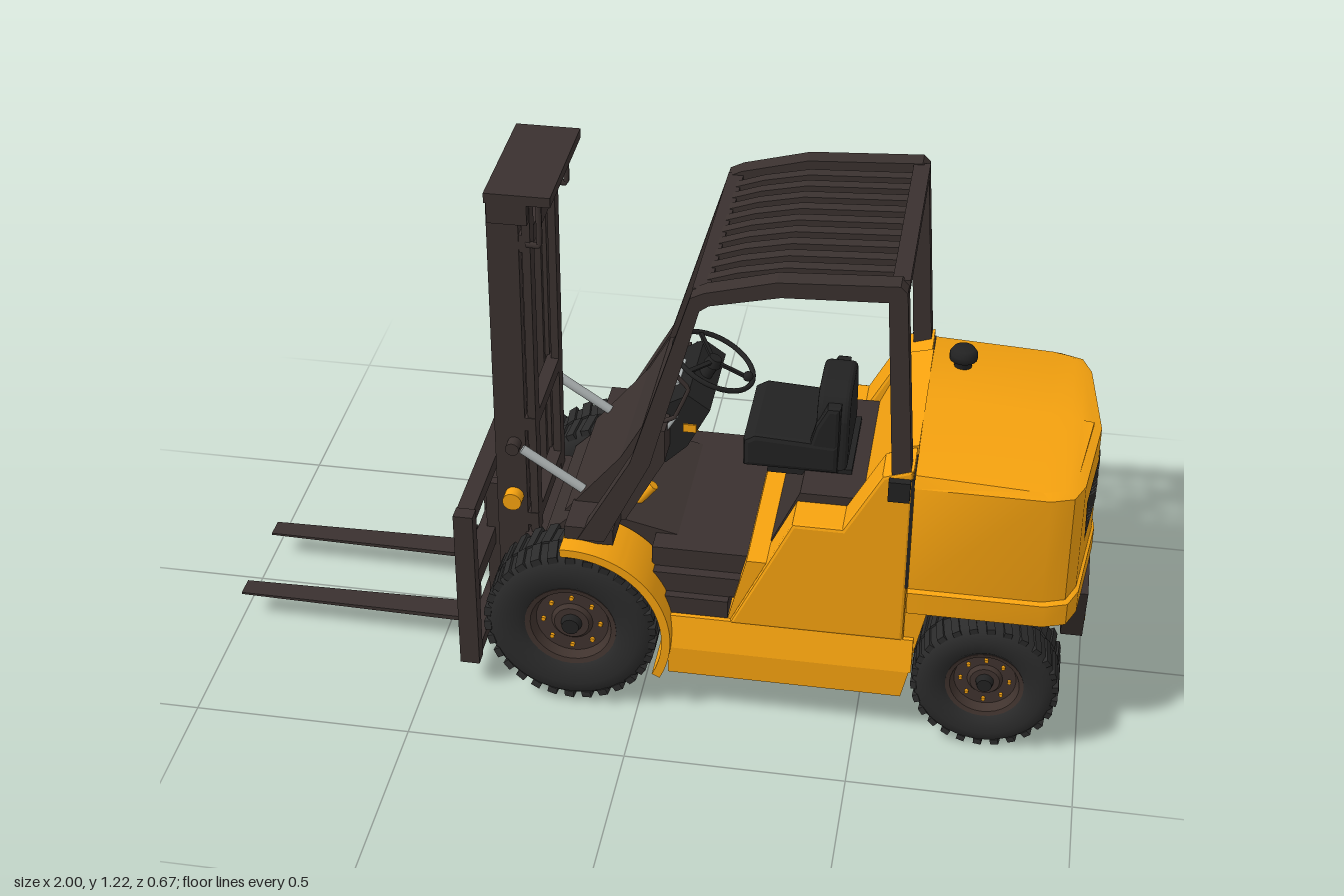
import * as THREE from 'three';
import { mergeGeometries, toCreasedNormals } from 'three/addons/utils/BufferGeometryUtils.js';

const paint = (color, side = THREE.FrontSide) => new THREE.MeshStandardMaterial({ color, side });

export function createModel() {
  const root = new THREE.Group();
  const yellow = paint(0xf7a30f), dark = paint(0x3a312f), black = paint(0x222222);
  const rubber = paint(0x2b2b2b), steel = paint(0xaab0b0), rimMat = paint(0x40332e);
  const grilleMat = paint(0x2a2622, THREE.DoubleSide), cellMat = paint(0x999999, THREE.DoubleSide);

  // ---- helpers ----
  const add = (name, geo, mat, parent = root) => {
    const m = new THREE.Mesh(geo, mat);
    m.name = name;
    parent.add(m);
    return m;
  };
  const boxGeo = (x0, x1, y0, y1, z0, z1) =>
    new THREE.BoxGeometry(Math.abs(x1 - x0), Math.abs(y1 - y0), Math.abs(z1 - z0))
      .translate((x0 + x1) / 2, (y0 + y1) / 2, (z0 + z1) / 2);
  const box = (name, mat, ...d) => add(name, boxGeo(...d), mat);
  const toShape = pts => new THREE.Shape(pts.map(p => new THREE.Vector2(...p)));
  // side profile (x, y) swept from z0 to z1
  const prism = (name, mat, pts, z0, z1, bevel = 0) => {
    const depth = Math.abs(z1 - z0) - 2 * bevel;
    const geo = new THREE.ExtrudeGeometry(toShape(pts), {
      depth, bevelEnabled: bevel > 0, bevelSize: bevel, bevelOffset: -bevel, bevelThickness: bevel, bevelSegments: 2 });
    return add(name, geo.translate(0, 0, Math.min(z0, z1) + bevel), mat);
  };
  const rod = (name, mat, a, b, r, sides = 12) => {
    const p = new THREE.Vector3(...a), q = new THREE.Vector3(...b), d = q.clone().sub(p);
    const m = add(name, new THREE.CylinderGeometry(r, r, d.length(), sides), mat);
    m.position.copy(p).add(q).multiplyScalar(0.5);
    m.quaternion.setFromUnitVectors(new THREE.Vector3(0, 1, 0), d.normalize());
  };
  const tube = (name, mat, pts, r) => add(name, new THREE.TubeGeometry(
    new THREE.CatmullRomCurve3(pts.map(p => new THREE.Vector3(...p)), false, 'catmullrom', 0.1), 24, r, 6), mat);
  const both = fn => [1, -1].forEach(fn);

  // ---- chassis, sills and side body ----
  prism('chassis', yellow, [[.07, .11], [.6, .11], [.65, .35], [.65, .42], [.24, .42], [.2, .255], [.07, .255]], -.285, .285);
  prism('chassisTail', yellow, [[.6, .11], [.7, .14], [.945, .3], [.945, .36], [.6, .36]], -.165, .165);
  both(s => {
    prism('sill', yellow, [[.07, .11], [.6, .11], [.615, .18], [.07, .18]], s * .28, s * .318);
    // sloped strip above the sill
    const geo = boxGeo(.07, .62, .18, .255, s * .25, s * .318), p = geo.attributes.position;
    for (let i = 0; i < p.count; i++) if (p.getY(i) > .2 && Math.abs(p.getZ(i)) > .3) p.setZ(i, s * .296);
    geo.computeVertexNormals();
    add('sillSlope', geo, yellow);
    prism('bodyShoulder', yellow, [[.205, .25], [.34, .54], [.45, .54], [.53, .69], [.597, .712], [.597, .25]], s * .2, s * .298, .008);
  });
  prism('bodyBack', yellow, [[.48, .4], [.48, .55], [.545, .7], [.6, .714], [.6, .4]], -.2, .2);
  prism('seatHood', dark, [[.207, .25], [.345, .558], [.5, .558], [.5, .25]], -.2, .2);
  box('bodySeam', black, .593, .6, .4, .69, -.2985, .2985);

  // ---- counterweight built from stacked outlines ----
  const half = (w, r) => [[.6, w], [r - .1, w], [r - .05, w - .018], [r - .028, w - .07], [r, 0]];
  const ring = (y, w, r, k = 1, slope = 0) => {
    const h = half(w, r), pts = [...h, ...h.slice(0, 4).reverse().map(([x, z]) => [x, -z])];
    return pts.map(([x, z]) => [x, y - slope * (x - .6), z * k]);
  };
  const rings = [ring(.345, .315, .998, 0), ring(.345, .315, .998), ring(.4, .315, .998), ring(.403, .302, .992),
    ring(.67, .302, .99), ring(.695, .287, .972, 1, .05), ring(.722, .287, .972, 0, .1)];
  const verts = [];
  for (let k = 0; k < rings.length - 1; k++) {
    const a = rings[k], b = rings[k + 1];
    a.forEach((_, i) => {
      const j = (i + 1) % a.length;
      verts.push(...a[i], ...a[j], ...b[j], ...a[i], ...b[j], ...b[i]);
    });
  }
  const cw = new THREE.BufferGeometry();
  cw.setAttribute('position', new THREE.Float32BufferAttribute(verts, 3));
  add('counterweight', toCreasedNormals(cw, .6), yellow);

  // rear grille, following the bent rear face
  const onRear = (geo, off) => {
    const p = geo.attributes.position;
    for (let i = 0; i < p.count; i++) {
      const z = p.getX(i);
      p.setXYZ(i, .992 - .122 * Math.abs(z) + off, p.getY(i), z);
    }
    geo.computeVertexNormals();
    return geo;
  };
  const cells = [];
  both(s => {
    add('grille', onRear(new THREE.ShapeGeometry(toShape(
      [[0, .48], [s * .165, .48], [s * .2, .607], [0, .607]])), .001), grilleMat);
    for (let row = 0; row < 8; row++) for (let z = .008 + (row % 2) * .008; z < .158 + row * .0035; z += .016)
      cells.push(onRear(new THREE.CircleGeometry(.0065, 6).translate(s * z, .493 + row * .0143, 0), .002));
  });
  add('grilleCells', mergeGeometries(cells), cellMat);

  // rear lower guard with plate, swept along x
  const guardShape = toShape([[-.18, .345], [-.1, .165], [-.08, .155], [.08, .155], [.1, .165], [.18, .345]]);
  add('rearGuard', new THREE.ExtrudeGeometry(guardShape, { depth: .05, bevelEnabled: false })
    .rotateY(Math.PI / 2).translate(.945, 0, 0), dark);
  box('rearPlate', yellow, .985, .998, .195, .255, -.08, .08);
  const stack = new THREE.LatheGeometry([[.02, .69], [.02, .72], [.032, .725], [.032, .74], [.024, .752], [0, .752]]
    .map(p => new THREE.Vector2(...p)), 20);
  add('exhaust', stack.translate(.67, 0, -.155), black);

  // ---- wheels ----
  const wheel = (name, x, y, z, r, w, lugs) => {
    const g = new THREE.Group();
    g.name = name;
    g.position.set(x, y, z);
    if (z < 0) g.rotation.y = Math.PI;
    root.add(g);
    const h = w / 2;
    const prof = [[.52, -.78], [.6, -.95], [.78, -1], [.91, -.92], [.97, -.75], [.97, .75], [.91, .92], [.78, 1], [.6, .95], [.52, .78]];
    add('tyre', new THREE.LatheGeometry(prof.map(([a, b]) => new THREE.Vector2(a * r, b * h)), 48).rotateX(Math.PI / 2), rubber, g);
    const parts = [];
    for (let i = 0; i < lugs; i++) both(s => {
      parts.push(new THREE.BoxGeometry(r * .11, r * .08, h * .94).rotateY(s * .14)
        .translate(0, r * .955, s * h * .47).rotateZ((i + (s > 0 ? 0 : .5)) / lugs * Math.PI * 2));
    });
    add('tread', mergeGeometries(parts), rubber, g);
    const rim = [[0, -.6], [.4, -.6], [.54, -.8], [.53, .82], [.47, .78], [.42, .5], [.24, .5], [.2, .62], [0, .62]];
    const rimGeo = new THREE.LatheGeometry(rim.map(([a, b]) => new THREE.Vector2(a * r, b * h)), 32);
    add('rim', toCreasedNormals(rimGeo.rotateX(Math.PI / 2), .5), rimMat, g);
    add('hub', new THREE.CylinderGeometry(r * .1, r * .13, h * .3, 16).rotateX(Math.PI / 2).translate(0, 0, h * .7), black, g);
    const bolts = [];
    for (let i = 0; i < 8; i++) bolts.push(new THREE.CylinderGeometry(r * .028, r * .028, h * .12, 6)
      .rotateX(Math.PI / 2).translate(r * .33, 0, h * .54).rotateZ(i * Math.PI / 4));
    add('wheelBolts', mergeGeometries(bolts), yellow, g);
  };
  both(s => {
    wheel('frontWheel', -.155, .212, s * .262, .2, .145, 30);
    wheel('rearWheel', .785, .166, s * .255, .165, .15, 26);
    // fender arc over the front wheel
    const arc = new THREE.Shape();
    arc.absarc(-.155, .205, .232, -.46, 1.65, false);
    arc.absarc(-.155, .205, .212, 1.65, -.46, true);
    const geo = new THREE.ExtrudeGeometry(arc, { depth: .145, bevelEnabled: false, curveSegments: 28 });
    add('fender', toCreasedNormals(geo.translate(0, 0, s > 0 ? .19 : -.335), .5), yellow);
  });
  rod('rearAxle', dark, [.785, .166, -.22], [.785, .166, .22], .024);
  rod('frontAxle', dark, [-.155, .212, -.22], [-.155, .212, .22], .05);

  // ---- front frame, floor, steps and dash ----
  prism('frontFrame', dark, [[-.24, .14], [.07, .14], [.07, .4], [-.06, .43], [-.17, .43], [-.24, .36]], -.185, .185);
  [[.25, .3, .285], [.3, .35, .265], [.35, .4, .24]].forEach(([a, b, z], i) =>
    box('step', dark, .02, .2 + i * .024, a, b, -z, z));
  prism('cowl', dark, [[-.19, .44], [-.06, .6], [-.01, .69], [.04, .68], [.04, .6], [-.05, .43]], -.19, .19);
  prism('console', black, [[-.01, .6], [.02, .7], [.08, .735], [.13, .7], [.08, .6], [.03, .55]], -.12, .12);
  box('display', steel, .02, .05, .7, .722, -.05, .05);
  both(s => box('gauge', yellow, .07, .1, .64, .66, s * .118, s * .124));
  const steering = new THREE.Group();
  steering.name = 'steeringWheel';
  steering.position.set(.12, .755, 0);
  steering.rotation.z = -.43;
  root.add(steering);
  add('wheelRing', new THREE.TorusGeometry(.098, .006, 8, 36).rotateX(Math.PI / 2), black, steering);
  add('wheelHub', new THREE.CylinderGeometry(.015, .02, .02, 16), black, steering);
  for (let i = 0; i < 3; i++)
    add('spoke', boxGeo(0, .098, -.003, .003, -.005, .005).rotateY(i * Math.PI * 2 / 3), black, steering);
  add('knob', new THREE.SphereGeometry(.012, 10, 8).translate(.08, .022, .03), black, steering);
  rod('steeringColumn', black, [.12, .755, 0], [.04, .6, 0], .016);
  [-.16, -.13, .15].forEach(z => rod('lever', steel, [.0, .6, z], [.06, .7, z], .005, 6));
  rod('pedal', yellow, [-.04, .42, .1], [0, .47, .1], .012);

  // ---- seat with a rounded back ----
  box('seatBase', black, .26, .45, .545, .57, -.11, .11);
  prism('seatCushion', black, [[.205, .56], [.42, .56], [.42, .635], [.23, .645], [.205, .63]], -.12, .12, .012);
  const backShape = new THREE.Shape();
  backShape.moveTo(-.115, .57);
  backShape.lineTo(.115, .57);
  backShape.lineTo(.105, .69);
  backShape.quadraticCurveTo(.09, .755, .03, .755);
  backShape.lineTo(-.03, .755);
  backShape.quadraticCurveTo(-.09, .755, -.105, .69);
  const back = new THREE.ExtrudeGeometry(backShape, { depth: .05, bevelSize: .012, bevelOffset: -.012, bevelThickness: .012, bevelSegments: 3 })
    .rotateY(Math.PI / 2).translate(.377, 0, 0);
  add('seatBack', back, black);
  both(s => prism('seatBolster', black, [[.345, .6], [.42, .6], [.42, .73], [.39, .73], [.365, .68]], s * .08, s * .118, .01));

  // ---- overhead guard ----
  both(s => {
    prism('guardFrame', dark, [[-.14, .44], [-.02, .66], [.11, 1.09], [.14, 1.105], [.29, 1.145], [.545, 1.16], [.56, 1.145],
      [.592, .69], [.55, .69], [.522, 1.12], [.3, 1.11], [.15, 1.075], [.13, 1.06], [.025, .66], [-.08, .44]], s * .25, s * .295);
    box('lowerPillar', dark, -.17, -.06, .43, .47, s * .185, s * .29);
    box('pillarFoot', black, .545, .592, .64, .69, s * .285, s * .316);
    tube('grabHandle', dark, [[.045, .76, s * .27], [.075, .775, s * .27], [.105, .85, s * .27], [.075, .885, s * .27]], .005);
  });
  box('frontHeader', dark, .11, .145, 1.073, 1.095, -.26, .26);
  box('rearHeader', dark, .525, .562, 1.128, 1.157, -.26, .26);
  for (let i = -4; i <= 4; i++)
    prism('roofSlat', dark, [[.12, 1.09], [.2, 1.118], [.3, 1.14], [.535, 1.152], [.535, 1.125], [.3, 1.113], [.2, 1.092], [.12, 1.073]],
      i * .052 - .014, i * .052 + .014);

  // ---- mast ----
  both(s => {
    box('outerMast', dark, -.355, -.285, .06, 1.205, s * .122, s * .15);
    box('innerMast', dark, -.345, -.295, .07, 1.2, s * .107, s * .122);
    box('mastRail', dark, -.278, -.26, .06, 1.2, s * .108, s * .148);
    box('mastHead', dark, -.35, -.262, 1.155, 1.205, s * .107, s * .165);
    tube('mastBracket', dark, [[-.27, 1.1, s * .145], [-.24, 1.1, s * .145], [-.24, 1.205, s * .145]], .007);
    rod('tiltCylinder', steel, [-.29, .58, s * .165], [-.14, .48, s * .165], .011);
    rod('tiltPivot', dark, [-.31, .585, s * .145], [-.31, .585, s * .18], .016);
    rod('mastPin', yellow, [-.315, .44, s * .15], [-.315, .44, s * .18], .022, 16);
  });
  box('mastTopPlate', dark, -.355, -.21, 1.203, 1.226, -.165, .165);
  box('mastCrossPlate', dark, -.285, -.262, 1.08, 1.122, -.148, .148);
  [.056, .36, .62].forEach(y => box('mastCrossBar', dark, -.29, -.26, y, y + .034, -.15, .15));
  box('mastMount', dark, -.29, -.2, .11, .34, -.17, .17);

  // ---- carriage and forks ----
  both(s => {
    box('carriagePost', dark, -.42, -.375, .065, .48, s * .275, s * .31);
    box('carriageUpright', dark, -.4, -.35, .065, .42, s * .06, s * .085);
    box('forkShank', dark, -.45, -.42, .06, .3, s * .09, s * .155);
    const geo = boxGeo(-1, -.42, .06, .072, s * .09, s * .155), p = geo.attributes.position;
    for (let i = 0; i < p.count; i++) if (p.getX(i) < -.9) {
      p.setY(i, p.getY(i) > .066 ? .069 : .064);
      p.setZ(i, s * (.122 + (Math.abs(p.getZ(i)) - .122) * .75));
    }
    geo.computeVertexNormals();
    add('fork', geo, dark);
  });
  [[.06, .09], [.25, .295], [.44, .475]].forEach(([a, b]) => box('carriageRail', dark, -.42, -.38, a, b, -.29, .29));
  return root;
}
